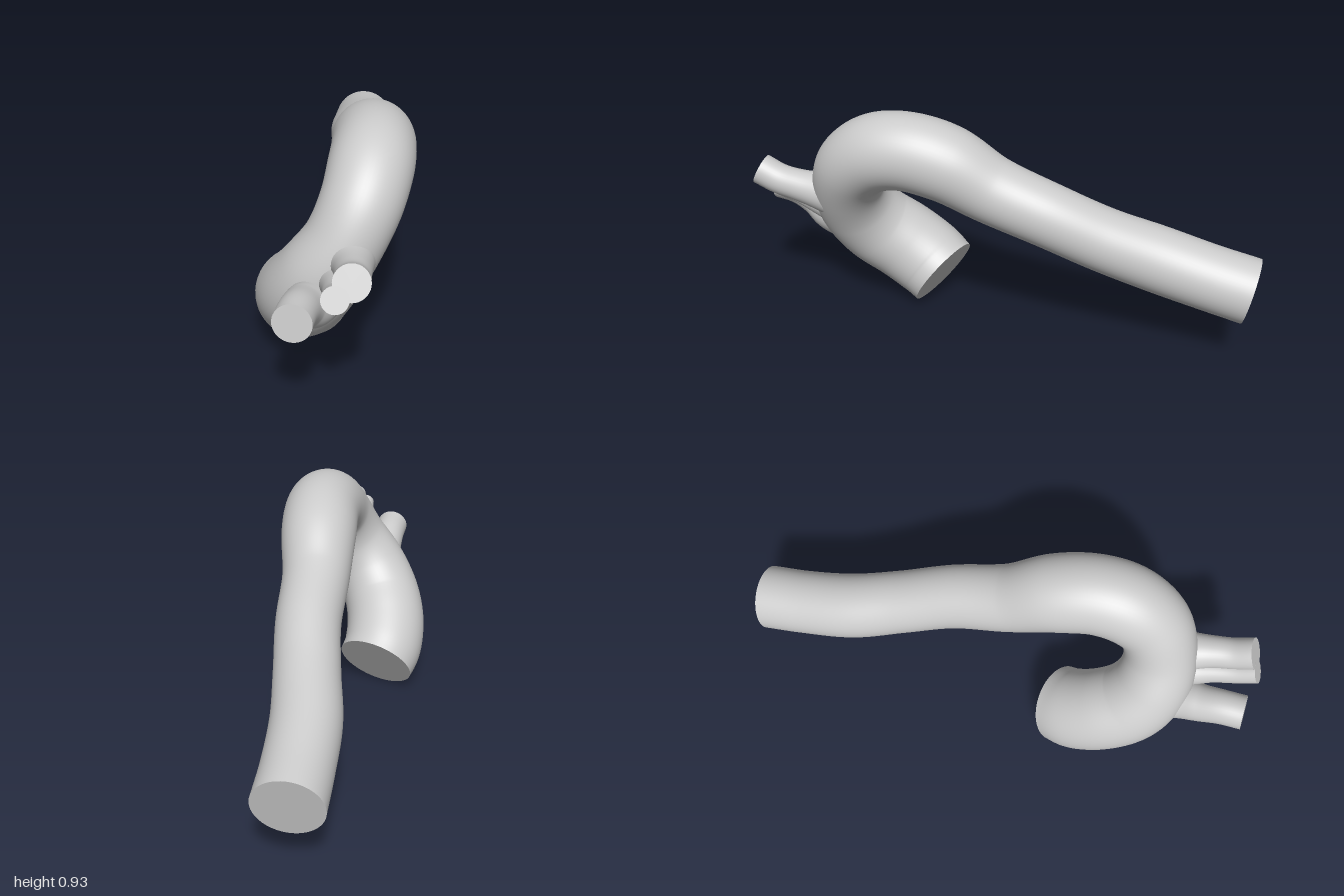
import * as THREE from 'three';

const material = new THREE.MeshStandardMaterial({ color: 0xcccccc });

// Capped vessel swept through stations of [x, y, z, radius]
function vessel(name, stations, rings, sides) {
  const path = new THREE.CatmullRomCurve3(stations.map(([x, y, z]) => new THREE.Vector3(x, y, z)));
  const radii = new THREE.SplineCurve(stations.map((s, i) => new THREE.Vector2(i, s[3])));
  const frames = path.computeFrenetFrames(rings, false);
  const pos = [], index = [];
  const ringPoint = (i, j) => {
    const r = radii.getPoint(path.getUtoTmapping(i / rings)).y;
    const a = (j / sides) * Math.PI * 2;
    return path.getPointAt(i / rings)
      .addScaledVector(frames.normals[i], r * Math.cos(a))
      .addScaledVector(frames.binormals[i], r * Math.sin(a));
  };
  // wall
  for (let i = 0; i <= rings; i++) {
    for (let j = 0; j < sides; j++) {
      pos.push(...ringPoint(i, j).toArray());
      if (i === rings) continue;
      const a = i * sides + j, b = i * sides + (j + 1) % sides;
      index.push(a, b, a + sides, b, b + sides, a + sides);
    }
  }
  // flat cut ends with their own vertices, so the rims stay sharp
  for (const i of [0, rings]) {
    const centre = pos.length / 3;
    pos.push(...path.getPointAt(i / rings).toArray());
    for (let j = 0; j < sides; j++) pos.push(...ringPoint(i, j).toArray());
    for (let j = 0; j < sides; j++) {
      const a = centre + 1 + j, b = centre + 1 + (j + 1) % sides;
      if (i === 0) index.push(centre, b, a);
      else index.push(centre, a, b);
    }
  }
  const geometry = new THREE.BufferGeometry();
  geometry.setAttribute('position', new THREE.Float32BufferAttribute(pos, 3));
  geometry.setIndex(index);
  geometry.computeVertexNormals();
  const mesh = new THREE.Mesh(geometry, material);
  mesh.name = name;
  return mesh;
}

export function createModel() {
  const model = new THREE.Group();
  model.name = 'aorta';

  // ascending part, arch and long descending part in one sweep
  model.add(vessel('mainVessel', [
    [-0.10, 0.13, 0.28, 0.156],
    [-0.122, 0.172, 0.345, 0.162],
    [-0.122, 0.245, 0.45, 0.163],
    [-0.09, 0.325, 0.55, 0.16],
    [-0.03, 0.435, 0.61, 0.15],
    [0.045, 0.56, 0.612, 0.138],
    [0.10, 0.68, 0.56, 0.142],
    [0.125, 0.755, 0.46, 0.148],
    [0.132, 0.775, 0.34, 0.148],
    [0.122, 0.74, 0.19, 0.146],
    [0.106, 0.645, 0.02, 0.129],
    [0.10, 0.56, -0.2, 0.122],
    [0.072, 0.472, -0.4, 0.122],
    [0.042, 0.40, -0.6, 0.127],
    [0.038, 0.345, -0.8, 0.126],
    [0.042, 0.31, -0.96, 0.127],
  ], 160, 56));

  // three arch branches, flared where they leave the main vessel
  model.add(vessel('rightBranch', [
    [-0.04, 0.39, 0.62, 0.12],
    [-0.055, 0.39, 0.73, 0.09],
    [-0.075, 0.42, 0.80, 0.074],
    [-0.086, 0.452, 0.88, 0.067],
    [-0.095, 0.465, 0.967, 0.066],
  ], 40, 36));
  model.add(vessel('middleBranch', [
    [0.03, 0.45, 0.62, 0.09],
    [0.03, 0.475, 0.74, 0.062],
    [0.034, 0.502, 0.82, 0.048],
    [0.037, 0.527, 0.90, 0.045],
    [0.04, 0.565, 0.98, 0.045],
  ], 40, 36));
  model.add(vessel('leftBranch', [
    [0.06, 0.52, 0.62, 0.10],
    [0.08, 0.545, 0.74, 0.072],
    [0.086, 0.56, 0.81, 0.062],
    [0.088, 0.577, 0.88, 0.06],
    [0.09, 0.613, 0.955, 0.061],
  ], 40, 36));

  return model;
}
